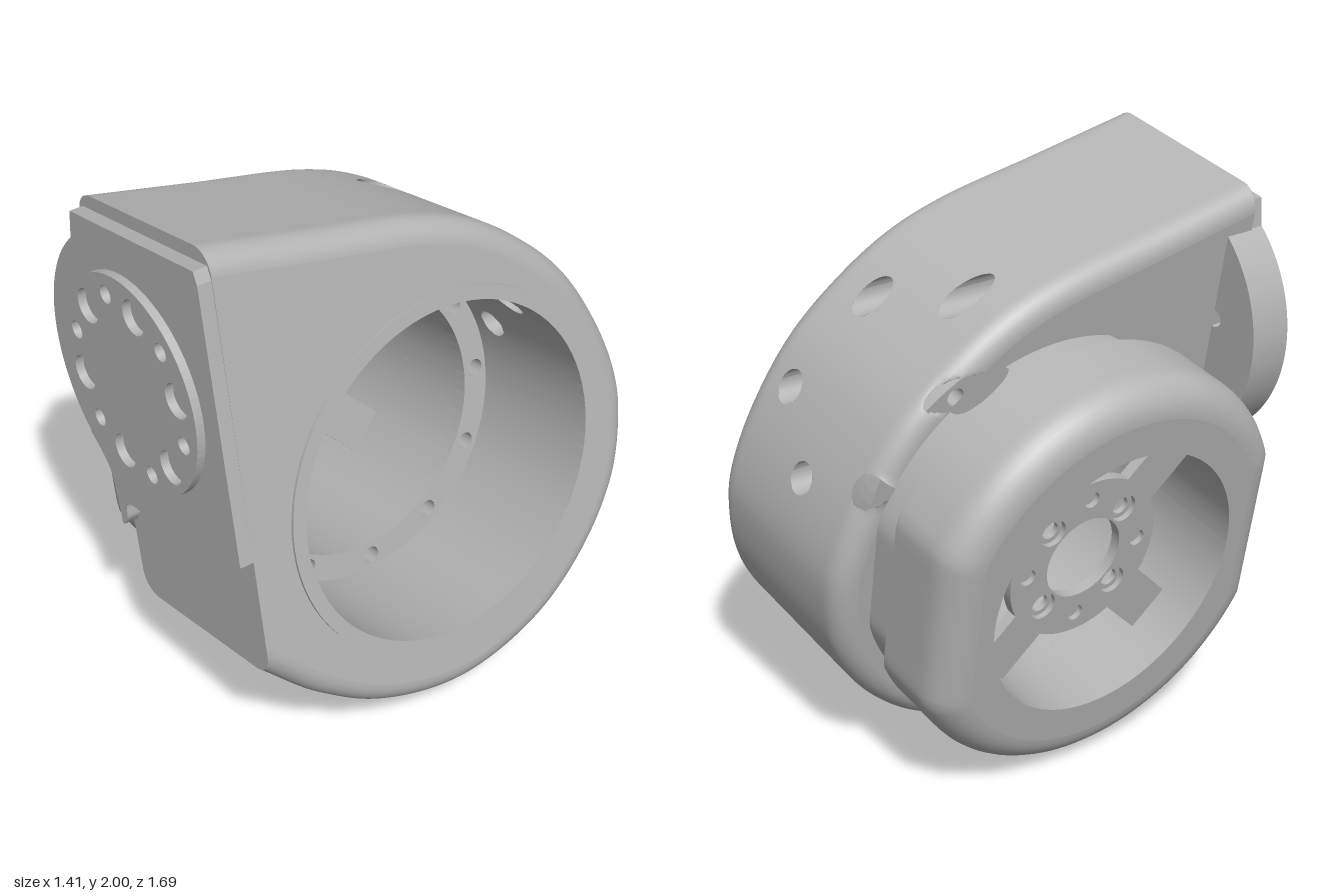
import * as THREE from 'three';

const grey = new THREE.MeshStandardMaterial({ color: 0xb4b4b4, side: THREE.DoubleSide });
grey.name = 'plain grey';

const TILT = Math.PI / 18, C = Math.cos(TILT), S = Math.sin(TILT);
const ZC = -0.04, VC = 0.837; // bore axis in (z, v); u runs along the axis
const U0 = -0.03, U1 = 0.72, FRONT = 0.76, EDGE = 0.08;
const DISC = [0.015, 1.37];

// Six screw holes drilled along z, in upright and in tilted coordinates
const ringPoints = (n, r, a0, cx = 0, cy = 0) => Array.from({ length: n }, (_, i) => {
  const a = a0 + i * 2 * Math.PI / n;
  return [cx + r * Math.cos(a), cy + r * Math.sin(a)];
});
const screws = ringPoints(6, 0.308, 0.87, ...DISC);
const drills = screws.map(([x, y]) => [x * C + y * S, -x * S + y * C]);
const DRILL = 0.055;

function circlePath(x, y, r) {
  return new THREE.Path().absarc(x, y, r, 0, Math.PI * 2, true);
}
function disc(r, x = 0, y = 0, holes = []) {
  const s = new THREE.Shape().absarc(x, y, r, 0, Math.PI * 2, false);
  s.holes = holes;
  return s;
}
function add(group, name, geometry) {
  const m = new THREE.Mesh(geometry, grey);
  m.name = name;
  group.add(m);
  return m;
}
const solid = (shape, depth) => depth
  ? new THREE.ExtrudeGeometry(shape, { depth, bevelEnabled: false, curveSegments: 40 })
  : new THREE.ShapeGeometry(shape, 40);
// A (z, v) shape standing across the axis, filling u - depth .. u
const axial = (shape, depth, u) => solid(shape, depth).rotateY(-Math.PI / 2).translate(u, 0, 0);

// Grid surface with the drill holes cut out; zAt follows the surface when a vertex is moved
function surface(point, n, m, zAt) {
  const pos = [], inside = [], index = [];
  for (let i = 0; i <= n; i++) for (let j = 0; j <= m; j++) {
    let [u, v, z] = point(i, j), cut = false;
    for (const [a, b] of drills) {
      const d = Math.hypot(u - a, v - b);
      if (d >= DRILL || d < 1e-6) { cut = cut || d < 1e-6; continue; }
      const nu = a + (u - a) * DRILL / d, nv = b + (v - b) * DRILL / d;
      z += zAt(nv, z) - zAt(v, z);
      u = nu; v = nv; cut = true;
    }
    pos.push(u, v, z);
    inside.push(cut);
  }
  for (let i = 0; i < n; i++) for (let j = 0; j < m; j++) {
    const a = i * (m + 1) + j, b = a + 1, c = a + m + 1, d = c + 1;
    if (!(inside[a] && inside[b] && inside[c] && inside[d])) index.push(a, c, b, b, c, d);
  }
  const g = new THREE.BufferGeometry();
  g.setAttribute('position', new THREE.Float32BufferAttribute(pos, 3));
  g.setIndex(index);
  g.computeVertexNormals();
  return g;
}

// Stations along u with rounded ends: [u, inset]
function stations(u0, u1, r0, r1, n) {
  const list = [], k = 8, q = Math.PI / 2 / k;
  for (let i = 0; i < k && r0; i++) list.push([u0 + r0 * (1 - Math.cos(i * q)), r0 * (1 - Math.sin(i * q))]);
  for (let i = 0; i <= n; i++) list.push([u0 + r0 + (u1 - r1 - u0 - r0) * i / n, 0]);
  for (let i = k - 1; i >= 0 && r1; i--) list.push([u1 - r1 * (1 - Math.cos(i * q)), r1 * (1 - Math.sin(i * q))]);
  return list;
}

// Volute outline from the front top edge, over the back, to the front bottom edge
const N = 200;
const outline = new THREE.CatmullRomCurve3([
  [0.76, 1.915], [0.36, 1.83], [-0.05, 1.743], [-0.25, 1.665], [-0.43, 1.545], [-0.62, 1.36], [-0.76, 1.12],
  [-0.835, 0.9], [-0.848, 0.75], [-0.8, 0.5], [-0.65, 0.267], [-0.4, 0.075], [-0.04, -0.01], [0.3, 0.065],
  [0.55, 0.22], [0.76, 0.42],
].map(([z, v]) => new THREE.Vector3(z, v, 0))).getSpacedPoints(N);
function volute(i, d) {
  const a = outline[Math.max(i - 1, 0)], b = outline[Math.min(i + 1, N)], p = outline[i];
  const len = Math.hypot(b.x - a.x, b.y - a.y), nz = -(b.y - a.y) / len, nv = (b.x - a.x) / len;
  if (i === 0 || i === N) return [FRONT, p.y + d / nv];
  return [Math.min(p.x + nz * d, FRONT), p.y + nv * d];
}
function backZ(v) {
  for (let i = 0; i < N; i++) {
    const a = outline[i], b = outline[i + 1];
    if (v <= a.y && v >= b.y) return a.x + (b.x - a.x) * (a.y - v) / (a.y - b.y);
  }
  return 0;
}
// Circle with flats at front and back
const flatted = (R, cut) => (i, d) => {
  const a = i / 120 * Math.PI * 2, r = R - d;
  return [ZC + THREE.MathUtils.clamp(r * Math.cos(a), d - cut, cut - d), VC + r * Math.sin(a)];
};
const chord = (R, v) => Math.sqrt(Math.max(R * R - (v - VC) ** 2, 0));
const roundZ = R => (v, z) => Math.sign(z - ZC) * chord(R, v);

function swept(profile, n, list, zAt) {
  return surface((i, j) => {
    const [z, v] = profile(i, list[j][1]);
    return [list[j][0], v, z];
  }, n, list.length - 1, zAt);
}
function capShape(profile, n, inset, hole) {
  const pts = [];
  for (let i = 0; i <= n; i++) pts.push(new THREE.Vector2(...profile(i, inset)));
  const s = new THREE.Shape(pts);
  s.holes.push(circlePath(ZC, VC, hole));
  return s;
}

function addHousing(g) {
  add(g, 'housingShell', swept(volute, N, stations(U0, U1, EDGE, EDGE, 40), backZ));
  add(g, 'housingRightSide', axial(capShape(volute, N, EDGE, 0.6), 0, U1));
  add(g, 'housingLeftSide', axial(capShape(volute, N, EDGE, 0.5), 0, U0));

  // Flat front with rounded corners
  const t = outline[0].y, b = outline[N].y, r = EDGE, f = new THREE.Shape();
  f.absarc(U1 - r, t - r, r, 0, Math.PI / 2);
  f.absarc(U0 + r, t - r, r, Math.PI / 2, Math.PI);
  f.absarc(U0 + r, b + r, r, Math.PI, Math.PI * 1.5);
  f.absarc(U1 - r, b + r, r, Math.PI * 1.5, Math.PI * 2);
  for (const [u, v] of drills) if (u > 0) f.holes.push(circlePath(u, v, u < 0.06 ? 0.03 : DRILL));
  add(g, 'housingFront', solid(f, 0).translate(0, 0, FRONT));

  // Walls of the screw holes, open where they cross the bore
  for (const [u, v] of drills) {
    if (u < 0.06) continue;
    for (const side of [1, -1]) {
      const pos = [], index = [], n = 24;
      for (let i = 0; i <= n; i++) {
        const a = i / n * Math.PI * 2, pu = u + DRILL * Math.cos(a), pv = v + DRILL * Math.sin(a);
        pos.push(pu, pv, side > 0 ? FRONT : backZ(pv), pu, pv, ZC + side * chord(0.6, pv));
        if (i < n) index.push(2 * i, 2 * i + 1, 2 * i + 2, 2 * i + 1, 2 * i + 3, 2 * i + 2);
      }
      const h = new THREE.BufferGeometry();
      h.setAttribute('position', new THREE.Float32BufferAttribute(pos, 3));
      h.setIndex(index);
      h.computeVertexNormals();
      add(g, 'screwHoleWall', h);
    }
  }
}

function addBore(g) {
  for (const [name, R, u0, u1] of [['intakeBore', 0.6, 0.2, U1], ['motorBore', 0.5, -0.46, 0.2]])
    add(g, name, swept(flatted(R, R), 120, stations(u0, u1, 0, 0, 32), roundZ(R)));
  add(g, 'intakeLip', axial(disc(0.65, ZC, VC, [circlePath(ZC, VC, 0.6)]), 0.02, U1 + 0.01));
  const bolts = ringPoints(12, 0.55, 0, ZC, VC).map(p => circlePath(...p, 0.032));
  add(g, 'boltFlange', axial(disc(0.6, ZC, VC, [circlePath(ZC, VC, 0.5), ...bolts]), 0.06, 0.2));
}

function addMotor(g) {
  const cover = flatted(0.745, 0.685), neck = flatted(0.705, 0.675);
  add(g, 'motorCover', swept(cover, 120, stations(-0.46, -0.14, 0.12, 0, 10), roundZ(0.745)));
  add(g, 'motorCoverOuterFace', axial(capShape(cover, 120, 0.12, 0.5), 0, -0.46));
  add(g, 'motorCoverInnerFace', axial(capShape(cover, 120, 0, 0.5), 0, -0.14));
  add(g, 'motorNeck', swept(neck, 120, stations(-0.14, U0, 0, 0, 8), roundZ(0.705)));

  // Spider mount: hub in two layers, four arms
  const mid = circlePath(ZC, VC, 0.155);
  const bolts = r => ringPoints(4, 0.213, Math.PI / 4, ZC, VC).map(p => circlePath(...p, r));
  const pins = ringPoints(4, 0.235, 0, ZC, VC).map(p => circlePath(...p, 0.03));
  add(g, 'hubInner', axial(disc(0.307, ZC, VC, [mid, ...bolts(0.032)]), 0.02, -0.25));
  add(g, 'hubOuter', axial(disc(0.307, ZC, VC, [mid, ...bolts(0.05), ...pins]), 0.02, -0.27));
  for (let i = 0; i < 4; i++) {
    const arm = new THREE.BoxGeometry(0.04, 0.2, 0.17).translate(0, 0.395, 0);
    add(g, 'spiderArm', arm.rotateX(Math.PI / 4 + i * Math.PI / 2).translate(-0.27, VC, ZC));
  }
}

function addFrontMount(g) {
  const through = () => screws.map(p => circlePath(...p, 0.031));
  const [cx, cy] = [0.015, 1.38], a0 = 134 * Math.PI / 180, a1 = 230 * Math.PI / 180;
  // Contoured plate on the front
  const plate = new THREE.Shape();
  plate.moveTo(-0.332, 1.74);
  for (const p of [[-0.325, 1.84], [0.37, 1.96], [0.39, 1.92], [0.56, 0.97], [0.36, 0.79]]) plate.lineTo(...p);
  plate.splineThru([[0.33, 0.85], [0.27, 0.88], [0.15, 0.855], [0, 0.83], [-0.1, 0.81], [-0.11, 0.74], [-0.14, 0.7],
    [-0.155, 0.76], [-0.2, 0.9], [-0.306, 0.99]].map(p => new THREE.Vector2(...p)));
  plate.absarc(cx, cy, 0.5, a1, a0, true);
  plate.holes = through();
  add(g, 'frontPlate', solid(plate, 0.05)).position.z = FRONT;

  // Thick round flange overhanging the housing's right-hand side
  const flange = new THREE.Shape().absarc(cx, cy, 0.5, a0, a1, false);
  flange.lineTo(-0.21, 1.0);
  flange.lineTo(-0.235, 1.35);
  flange.lineTo(-0.235, 1.5);
  flange.holes.push(circlePath(...screws.reduce((a, b) => (a[0] < b[0] ? a : b)), 0.031));
  add(g, 'sideFlange', solid(flange, 0.11)).position.z = 0.65;

  // Round pad with six through holes and six blind holes
  const blind = ringPoints(6, 0.29, 0.34, ...DISC).map(p => circlePath(...p, 0.06));
  add(g, 'mountPad', solid(disc(0.38, ...DISC, [...through(), ...blind]), 0.03)).position.z = 0.81;
}

export function createModel() {
  const model = new THREE.Group();
  model.name = 'blowerHousing';
  const tilted = new THREE.Group();
  tilted.name = 'tiltedBody';
  tilted.rotation.z = TILT;
  addHousing(tilted);
  addBore(tilted);
  addMotor(tilted);
  const mount = new THREE.Group();
  mount.name = 'frontMount';
  addFrontMount(mount);
  model.add(tilted, mount);
  return model;
}
